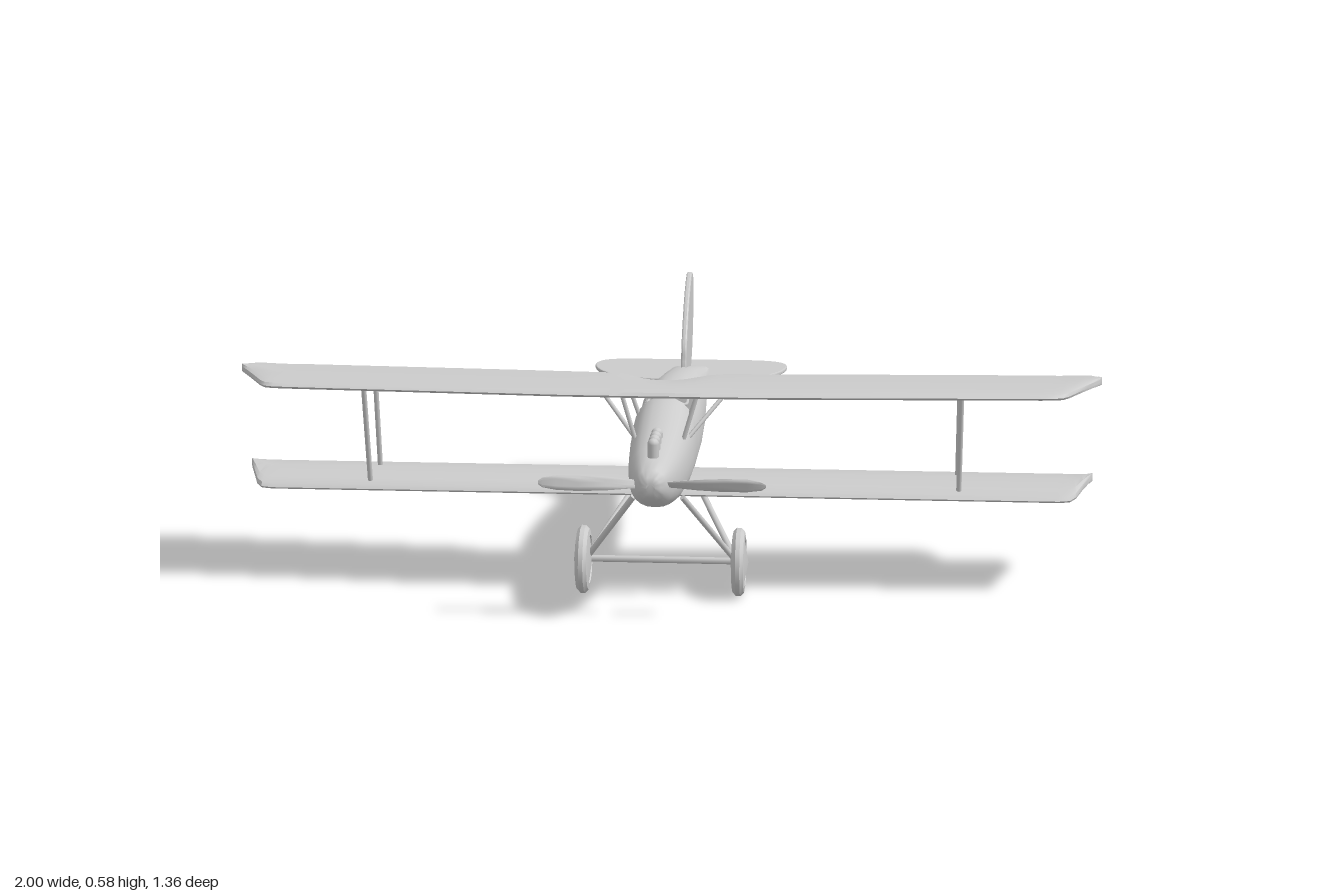
import * as THREE from 'three';
import { toCreasedNormals } from 'three/addons/utils/BufferGeometryUtils.js';

const grey = new THREE.MeshStandardMaterial({ color: 0xcccccc });
const V = (x, y, z) => new THREE.Vector3(x, y, z);

function add(parent, name, geometry) {
  const mesh = new THREE.Mesh(geometry, grey);
  mesh.name = name;
  parent.add(mesh);
  return mesh;
}

// Skin a list of equal-length rings and close both ends with fans.
function loft(rings, crease = 0.6) {
  const n = rings[0].length, pts = rings.flat(), idx = [];
  for (let i = 0; i < rings.length - 1; i++) {
    for (let j = 0; j < n; j++) {
      const a = i * n + j, b = i * n + (j + 1) % n;
      idx.push(a, b, b + n, a, b + n, a + n);
    }
  }
  const last = (rings.length - 1) * n;
  for (let j = 1; j < n - 1; j++) idx.push(0, j + 1, j, last, last + j, last + j + 1);
  // Keep faces outward whichever way the rings run.
  let volume = 0;
  for (let k = 0; k < idx.length; k += 3) {
    volume += pts[idx[k]].dot(pts[idx[k + 1]].clone().cross(pts[idx[k + 2]]));
  }
  if (volume < 0) idx.reverse();
  const g = new THREE.BufferGeometry().setFromPoints(pts);
  g.setIndex(idx);
  return toCreasedNormals(g, crease);
}

// Round bar between two points.
function strut(parent, name, a, b, r = 0.006) {
  const d = b.clone().sub(a);
  const m = add(parent, name, new THREE.CylinderGeometry(r, r, d.length(), 8));
  m.position.copy(a).add(b).multiplyScalar(0.5);
  m.quaternion.setFromUnitVectors(V(0, 1, 0), d.normalize());
}

// Fuselage section: a squarish oval; the cockpit pushes its crown down.
function bodyRing([z, top, bottom, w, sunk]) {
  const ring = [], n = 24, mid = (top + bottom) / 2, h = (top - bottom) / 2;
  const p = (v) => Math.sign(v) * Math.abs(v) ** 0.85;
  for (let i = 0; i < n; i++) {
    const a = (i / n) * Math.PI * 2;
    let y = mid + h * p(Math.cos(a));
    const x = w * p(Math.sin(a));
    if (sunk && Math.cos(a) > 0.8) y = 0.33;
    ring.push(V(x, y, z));
  }
  return ring;
}

// Wing from half-span stations [x, leading z, trailing z], mirrored.
const foil = [[0, 0], [0.03, 0.007], [0.15, 0.011], [0.5, 0.01], [0.9, 0.005], [1, 0],
  [0.97, -0.005], [0.5, -0.006], [0.1, -0.007], [0.02, -0.005]];
function wing(stations, yAt, thick = 1) {
  const left = stations.filter((s) => s[0] > 0).map(([x, l, t]) => [-x, l, t]).reverse();
  return loft([...left, ...stations].map(([x, lead, trail]) => foil.map(([t, dy]) => {
    const z = lead + (trail - lead) * t;
    return V(x, yAt(z) + dy * thick, z);
  })));
}

// Thin plate with a softly bevelled rim.
function plate(points, thickness) {
  const shape = new THREE.Shape();
  shape.moveTo(...points[0]);
  shape.splineThru(points.slice(1).map((p) => new THREE.Vector2(...p)));
  const b = thickness * 0.3;
  const g = new THREE.ExtrudeGeometry(shape, {
    depth: thickness - 2 * b, bevelThickness: b, bevelSize: b, bevelOffset: -b, bevelSegments: 2, curveSegments: 32,
  });
  return g.translate(0, 0, b - thickness / 2);
}

export function createModel() {
  const plane = new THREE.Group();
  plane.name = 'biplane';

  // Fuselage: z, top, bottom, half width, sunk
  add(plane, 'fuselage', loft([
    [0.68, 0.332, 0.312, 0.01], [0.675, 0.344, 0.3, 0.022], [0.66, 0.357, 0.287, 0.034],
    [0.62, 0.371, 0.265, 0.046], [0.56, 0.385, 0.248, 0.058], [0.48, 0.397, 0.233, 0.066],
    [0.38, 0.411, 0.224, 0.072], [0.31, 0.424, 0.221, 0.074], [0.28, 0.436, 0.22, 0.075],
    [0.245, 0.42, 0.219, 0.075], [0.24, 0.418, 0.219, 0.075, 1], [0.08, 0.418, 0.218, 0.075, 1],
    [0.075, 0.42, 0.219, 0.075], [0.065, 0.426, 0.22, 0.075], [-0.1, 0.411, 0.231, 0.071],
    [-0.33, 0.377, 0.258, 0.06], [-0.48, 0.349, 0.286, 0.054], [-0.6, 0.324, 0.314, 0.048],
  ].map(bodyRing)));

  // Cockpit rim
  const rim = new THREE.CatmullRomCurve3([V(0, 0.424, 0.07), V(0.04, 0.409, 0.085), V(0.045, 0.405, 0.16),
    V(0.04, 0.409, 0.235), V(0, 0.428, 0.252), V(-0.04, 0.409, 0.235), V(-0.045, 0.405, 0.16), V(-0.04, 0.409, 0.085)], true);
  add(plane, 'cockpitRim', new THREE.TubeGeometry(rim, 40, 0.004, 6, true));

  // Engine cylinders along the nose
  for (let i = 0; i < 4; i++) {
    add(plane, 'engineCylinder', new THREE.CapsuleGeometry(0.013, 0.05, 4, 10)).position.set(0, 0.377, 0.602 - i * 0.034);
  }

  // Propeller: twisted blades, x, half chord, pitch
  const propeller = new THREE.Group();
  propeller.name = 'propeller';
  propeller.position.set(0, 0.322, 0.645);
  plane.add(propeller);
  const blade = loft([[0, 0.009, 0.9], [0.05, 0.012, 0.75], [0.1, 0.016, 0.55], [0.16, 0.018, 0.4],
    [0.21, 0.016, 0.3], [0.24, 0.011, 0.25], [0.25, 0.004, 0.25]].map(([x, c, pitch]) =>
    Array.from({ length: 12 }, (_, j) => {
      const a = (j / 12) * Math.PI * 2, u = c * Math.cos(a), v = 0.25 * c * Math.sin(a) + 0.001 * Math.sin(a);
      return V(x, u * Math.cos(pitch) - v * Math.sin(pitch), u * Math.sin(pitch) + v * Math.cos(pitch));
    })));
  add(propeller, 'blade', blade);
  add(propeller, 'blade', blade).rotation.z = Math.PI;

  // Wings
  add(plane, 'upperWing', wing([
    [0, 0.48, 0.272], [0.025, 0.48, 0.268], [0.05, 0.48, 0.25], [0.075, 0.48, 0.218], [0.1, 0.48, 0.187],
    [0.13, 0.479, 0.17], [0.22, 0.478, 0.163], [0.5, 0.458, 0.143], [0.85, 0.433, 0.12], [0.88, 0.429, 0.12],
    [0.9, 0.42, 0.12], [0.915, 0.395, 0.12], [0.957, 0.297, 0.12], [0.98, 0.245, 0.13], [0.993, 0.215, 0.15], [1, 0.195, 0.175],
  ], (z) => 0.466 + 0.043 * (z - 0.12)));
  add(plane, 'lowerWing', wing([
    [0, 0.372, 0.122], [0.9, 0.372, 0.122], [0.925, 0.367, 0.122], [0.94, 0.345, 0.122], [0.96, 0.28, 0.125],
    [0.977, 0.22, 0.135], [0.987, 0.18, 0.155],
  ], (z) => 0.229 + 0.012 * (1 - ((z - 0.247) / 0.125) ** 2), 1.05));

  for (const s of [1, -1]) {
    // Struts between the wings
    strut(plane, 'interplaneStrut', V(s * 0.675, 0.475, 0.402), V(s * 0.675, 0.237, 0.342));
    strut(plane, 'interplaneStrut', V(s * 0.675, 0.47, 0.25), V(s * 0.675, 0.24, 0.208));
    // Struts from body to upper wing
    strut(plane, 'cabaneStrut', V(s * 0.085, 0.478, 0.435), V(s * 0.055, 0.375, 0.435), 0.005);
    strut(plane, 'cabaneStrut', V(s * 0.085, 0.472, 0.285), V(s * 0.055, 0.385, 0.285), 0.005);
    strut(plane, 'cabaneBrace', V(s * 0.16, 0.472, 0.285), V(s * 0.062, 0.365, 0.375), 0.005);
    // Landing gear
    strut(plane, 'gearLeg', V(s * 0.168, 0.085, 0.39), V(s * 0.055, 0.25, 0.475), 0.007);
    strut(plane, 'gearLeg', V(s * 0.168, 0.085, 0.385), V(s * 0.055, 0.23, 0.16), 0.007);
    const wheel = new THREE.LatheGeometry([[0, -0.02], [0.054, -0.012], [0.056, -0.015], [0.07, -0.013], [0.078, -0.005],
      [0.078, 0.005], [0.07, 0.013], [0.056, 0.015], [0.054, 0.012], [0, 0.022]].map((p) => new THREE.Vector2(...p)), 14);
    const m = add(plane, 'wheel', toCreasedNormals(wheel, 0.5));
    m.position.set(s * 0.178, 0.078, 0.39);
    m.rotation.z = -s * Math.PI / 2;
  }
  strut(plane, 'axle', V(-0.18, 0.08, 0.39), V(0.18, 0.08, 0.39), 0.008);

  // Fin and rudder, drawn as (-z, y)
  add(plane, 'fin', plate([[0.33, 0.36], [0.338, 0.39], [0.357, 0.438], [0.43, 0.52], [0.505, 0.568], [0.552, 0.579],
    [0.588, 0.557], [0.597, 0.505], [0.58, 0.435], [0.545, 0.375], [0.5, 0.335]], 0.014)).rotation.y = Math.PI / 2;

  // Tailplane, drawn as (x, -z)
  const half = [[0.07, 0.437], [0.16, 0.463], [0.222, 0.524], [0.248, 0.6], [0.235, 0.655], [0.18, 0.68], [0.08, 0.682]];
  const outline = [[0, 0.435], ...half, ...half.map(([x, z]) => [-x, z]).reverse(), [0, 0.435]];
  const tail = add(plane, 'tailplane', plate(outline, 0.01));
  tail.rotation.x = -Math.PI / 2;
  tail.position.y = 0.319;

  return plane;
}
